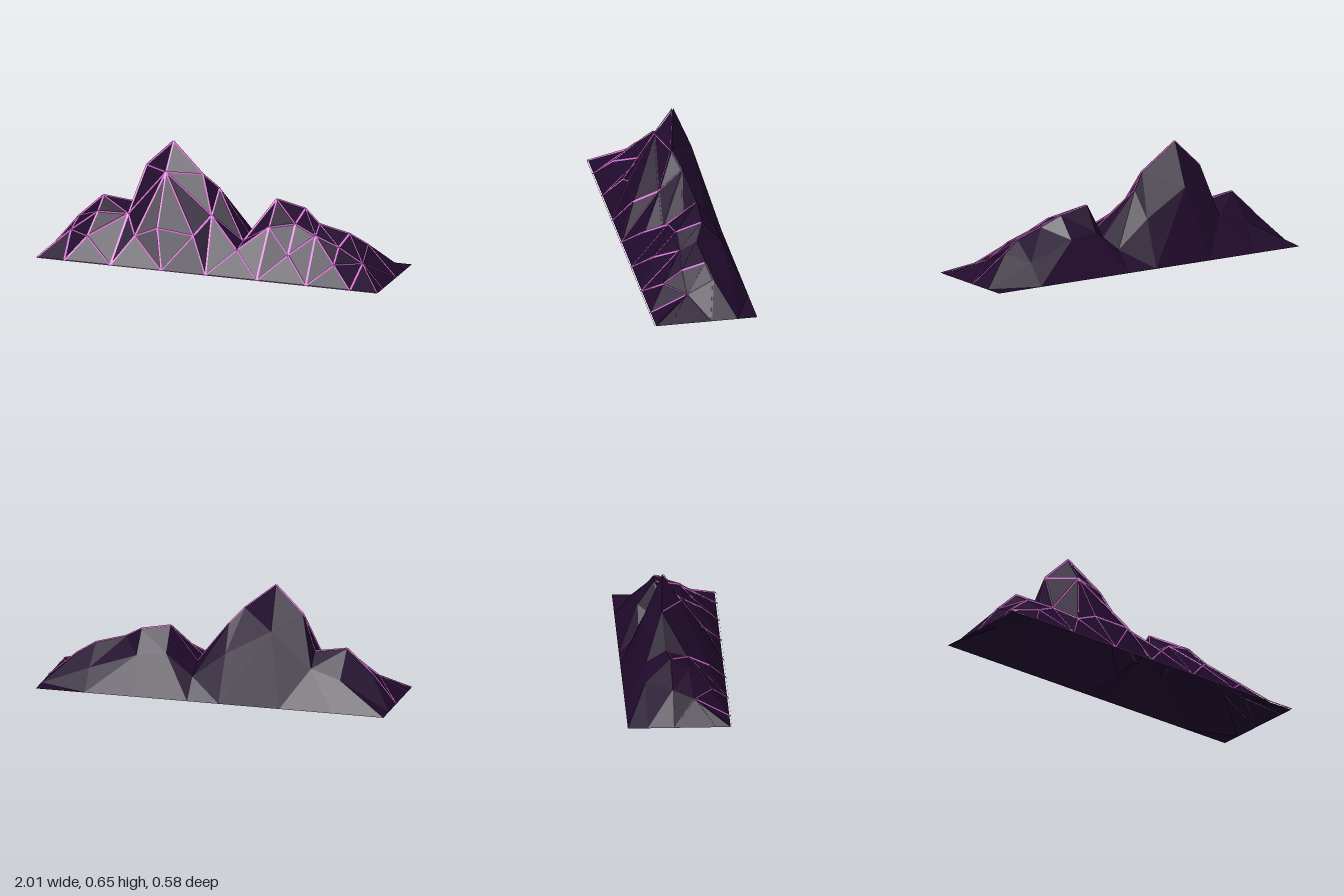
import * as THREE from 'three';

// Cross rows of the ridge, from the front foot over the crest to the back foot: x, y, z
const frontFoot = [-1, -0.84, -0.57, -0.27, -0.01, 0.29, 0.58, 0.84, 1].map((x) => [x, 0, 0.28]);
const lowerSlope = [
  [-1, 0, 0.19], [-0.87, 0.12, 0.08], [-0.74, 0.125, 0.18], [-0.54, 0.24, 0.06], [-0.46, 0.155, 0.18],
  [-0.33, 0.21, 0.175], [-0.11, 0.195, 0.195], [-0.05, 0.28, 0.06], [0.14, 0.135, 0.18],
  [0.29, 0.25, 0.07], [0.44, 0.135, 0.18], [0.56, 0.225, 0.06], [0.71, 0.105, 0.18],
  [0.84, 0.095, 0.07], [1, 0, 0.19],
];
const upperSlope = [
  [-1, 0, 0.19], [-0.87, 0.12, 0.08], [-0.72, 0.235, 0.06], [-0.54, 0.24, 0.06],
  [-0.33, 0.495, 0.03], [-0.05, 0.28, 0.06], [0.14, 0.155, 0.075], [0.29, 0.25, 0.07],
  [0.44, 0.28, 0.055], [0.56, 0.225, 0.06], [0.7, 0.175, 0.07], [0.84, 0.095, 0.07], [1, 0, 0.19],
];
const crest = [
  [-1, 0, -0.035], [-0.86, 0.17, -0.035], [-0.72, 0.3, -0.04], [-0.54, 0.275, -0.06],
  [-0.48, 0.49, -0.08], [-0.32, 0.645, -0.07], [-0.13, 0.485, -0.025], [-0.05, 0.4, -0.07],
  [0.14, 0.155, -0.04], [0.28, 0.365, -0.09], [0.45, 0.33, -0.085], [0.55, 0.265, -0.035],
  [0.72, 0.22, -0.055], [0.82, 0.16, -0.08], [1, 0, -0.035],
];
const backSlope = [
  [-1, 0, -0.18], [-0.72, 0.16, -0.18], [-0.55, 0.21, -0.17], [-0.32, 0.405, -0.17], [-0.06, 0.26, -0.18],
  [0.13, 0.11, -0.18], [0.28, 0.23, -0.18], [0.45, 0.21, -0.19], [0.72, 0.115, -0.19], [1, 0, -0.18],
];
const backFoot = [-1, -0.7, -0.4, -0.05, 0.13, 0.43, 0.72, 1].map((x) => [x, 0, -0.29]);

const toVectors = (row) => row.map((p) => new THREE.Vector3(...p));

// Joins two rows with triangles, always taking the diagonal that spans less width
function strip(rowA, rowB) {
  const a = toVectors(rowA), b = toVectors(rowB), triangles = [];
  let i = 0, j = 0;
  while (i < a.length - 1 || j < b.length - 1) {
    const stepA = j === b.length - 1 ||
      (i < a.length - 1 && Math.abs(a[i + 1].x - b[j].x) <= Math.abs(a[i].x - b[j + 1].x));
    const t = stepA ? [a[i], a[i + 1], b[j]] : [a[i], b[j + 1], b[j]];
    if (stepA) i++; else j++;
    if (new THREE.Triangle(...t).getArea() > 1e-5) triangles.push(t);
  }
  return triangles;
}

function meshFrom(name, triangles, material) {
  const geometry = new THREE.BufferGeometry().setFromPoints(triangles.flat());
  geometry.computeVertexNormals();
  const mesh = new THREE.Mesh(geometry, material);
  mesh.name = name;
  return mesh;
}

// Every edge once, keyed by its two ends
function uniqueEdges(triangles) {
  const edges = new Map();
  for (const t of triangles) {
    for (let k = 0; k < 3; k++) {
      const ends = [t[k], t[(k + 1) % 3]];
      const key = ends.map((p) => p.toArray().join()).sort().join('|');
      edges.set(key, ends);
    }
  }
  return [...edges.values()];
}

// Flat ribbon along an edge, widened sideways as seen from the front and set just before the rock
function ribbon([a, b], halfWidth, gap) {
  const side = new THREE.Vector3(a.y - b.y, b.x - a.x, 0);
  if (side.length() < 1e-4) return [];
  side.setLength(halfWidth);
  const corner = (p, s) => {
    const c = p.clone().addScaledVector(side, s);
    return c.set(c.x, Math.max(0, c.y), c.z + gap);
  };
  const [p, q, r, s] = [corner(a, -1), corner(b, -1), corner(b, 1), corner(a, 1)];
  return [[p, q, r], [p, r, s]];
}

export function createModel() {
  const rock = new THREE.MeshStandardMaterial({ color: 0x200a2c, side: THREE.DoubleSide, flatShading: true });
  rock.name = 'dark purple rock';
  const glow = new THREE.MeshStandardMaterial({ color: 0xda70d6, side: THREE.DoubleSide, flatShading: true });
  glow.name = 'pink line';

  const front = [
    ...strip(frontFoot, lowerSlope), ...strip(lowerSlope, upperSlope), ...strip(upperSlope, crest),
  ];
  const back = [...strip(crest, backSlope), ...strip(backSlope, backFoot)];
  const lines = uniqueEdges(front).flatMap((edge) => ribbon(edge, 0.0055, 0.008));

  const group = new THREE.Group();
  group.name = 'mountainRange';
  group.add(
    meshFrom('frontSlope', front, rock),
    meshFrom('backSlope', back, rock),
    meshFrom('facetLines', lines, glow),
  );
  return group;
}
